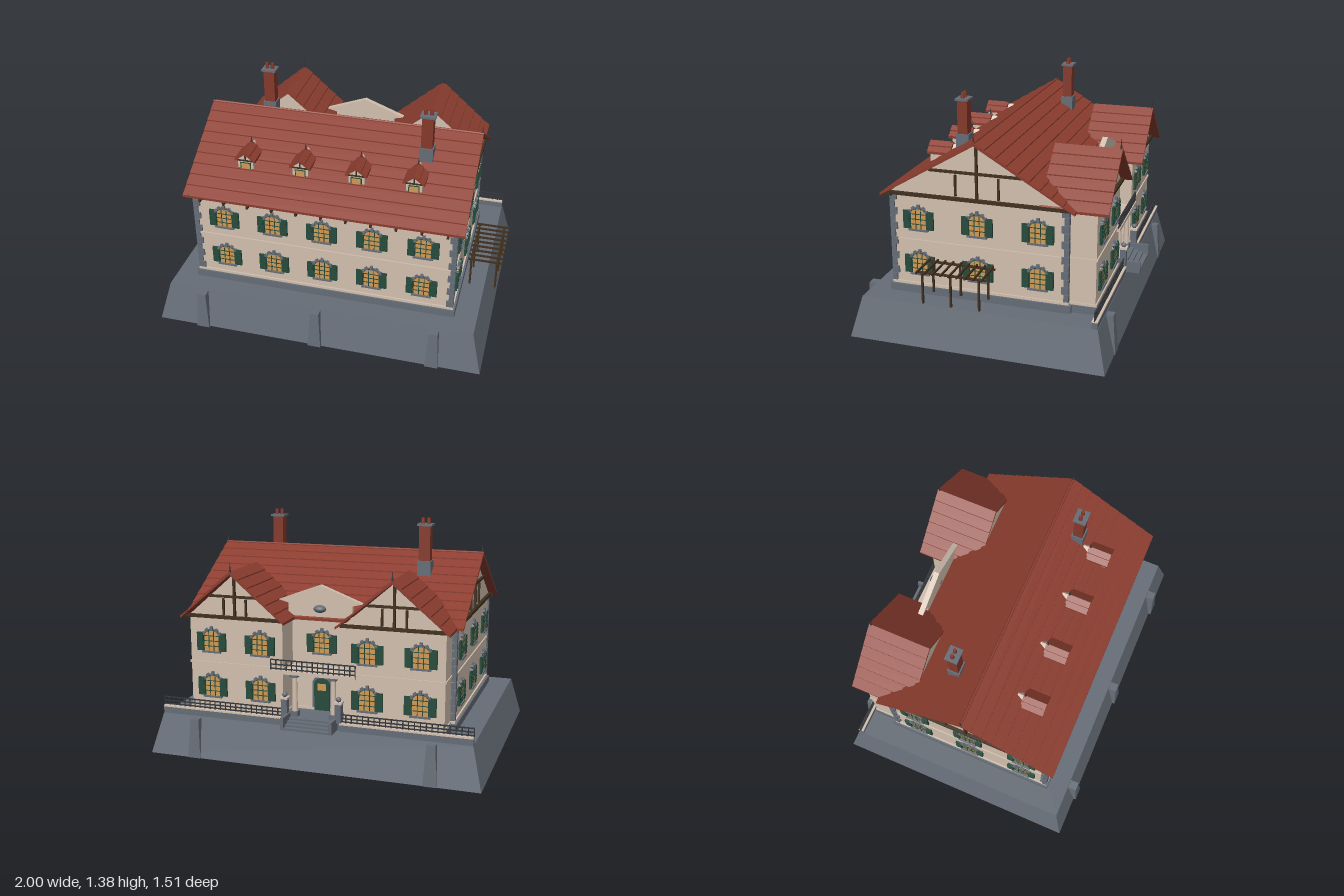
import * as THREE from 'three';

const mat = (name, color, side = THREE.FrontSide) => {
  const m = new THREE.MeshStandardMaterial({ color, side });
  m.name = name;
  return m;
};
const M = {
  plaster: mat('cream plaster', 0xd2c0af),
  stone: mat('grey stone', 0x666d77),
  tile: mat('red roof tile', 0x8c3d2f),
  brick: mat('red brick', 0x85392a),
  timber: mat('dark timber', 0x40301f),
  green: mat('green paint', 0x264b3c),
  glass: mat('amber glass', 0xd09a55),
  iron: mat('dark iron', 0x34373b),
};

function add(parent, name, geo, material, x = 0, y = 0, z = 0) {
  const m = new THREE.Mesh(geo, material);
  m.name = name;
  m.position.set(x, y, z);
  parent.add(m);
  return m;
}
const box = (p, name, m, w, h, d, x, y, z) => add(p, name, new THREE.BoxGeometry(w, h, d), m, x, y, z);
// box given by its limits
const span = (p, name, m, x0, x1, y0, y1, z0, z1) =>
  box(p, name, m, x1 - x0, y1 - y0, z1 - z0, (x0 + x1) / 2, (y0 + y1) / 2, (z0 + z1) / 2);
const group = (p, name, x = 0, y = 0, z = 0, ry = 0) => {
  const g = new THREE.Group();
  g.name = name;
  g.position.set(x, y, z);
  g.rotation.y = ry;
  p.add(g);
  return g;
};
const extrude = (pts, depth) => new THREE.ExtrudeGeometry(
  new THREE.Shape(pts.map(([x, y]) => new THREE.Vector2(x, y))), { depth, bevelEnabled: false, curveSegments: 8 });

// box whose top is shrunk and shifted
function tapered(wb, db, wt, dt, h, shift = 0) {
  const g = new THREE.BoxGeometry(wb, h, db).toNonIndexed();
  const p = g.attributes.position;
  for (let i = 0; i < p.count; i++) if (p.getY(i) > 0) {
    p.setX(i, p.getX(i) * wt / wb);
    p.setZ(i, p.getZ(i) * dt / db + shift);
  }
  g.translate(0, h / 2, 0);
  g.computeVertexNormals();
  return g;
}

// stepped tile courses on both slopes, ridge along z
function tiledRoof(half, top, eave, courses, length) {
  const right = [], step = 0.007, t = 0.018;
  for (let i = 0; i < courses; i++) {
    const a = i / courses, b = (i + 1) / courses, y = (k) => top + (eave - top) * k;
    right.push([half * a, y(a)], [half * b, y(b) + step]);
  }
  right.push([half, eave - t + 0.01]);
  const left = right.slice(1).map(([x, y]) => [-x, y]).reverse();
  return extrude([[0, top - t], ...left, ...right].reverse(), length);
}

const archPts = (w, spring, rise, n = 8) => {
  const pts = [[-w, 0], [w, 0]];
  for (let i = 0; i <= n; i++) {
    const a = Math.PI * i / n;
    pts.push([w * Math.cos(a), spring + rise * Math.sin(a)]);
  }
  return pts;
};

// arched window with shutters; sill at y = 0, facing +z
function windowUnit(p, x, y, z, ry) {
  const g = group(p, 'window', x, y, z, ry);
  add(g, 'stoneSurround', extrude(archPts(0.056, 0.09, 0.042), 0.006), M.stone);
  add(g, 'greenFrame', extrude(archPts(0.049, 0.09, 0.035), 0.008), M.green);
  add(g, 'pane', extrude(archPts(0.044, 0.09, 0.03), 0.01), M.glass);
  for (const dx of [-0.015, 0.015]) box(g, 'muntin', M.green, 0.004, 0.115, 0.004, dx, 0.06, 0.011);
  for (const dy of [0.03, 0.06, 0.09]) box(g, 'glazingBar', M.green, 0.088, 0.004, 0.004, 0, dy, 0.011);
  for (let i = 0; i < 5; i++) {
    const a = Math.PI * (i + 0.5) / 5;
    const v = box(g, 'voussoir', M.stone, 0.016, i === 2 ? 0.026 : 0.016, 0.016,
      0.053 * Math.cos(a), 0.09 + 0.042 * Math.sin(a), 0.006);
    v.rotation.z = a - Math.PI / 2;
  }
  box(g, 'sill', M.stone, 0.115, 0.01, 0.022, 0, -0.004, 0.008);
  for (const s of [-1, 1]) {
    box(g, 'shutter', M.green, 0.04, 0.106, 0.012, s * 0.07, 0.055, 0.008);
    for (let i = 0; i < 4; i++) box(g, 'shutterSlat', M.green, 0.03, 0.012, 0.004, s * 0.07, 0.02 + i * 0.023, 0.015);
  }
}

// timber framing of a gable; facing +z, x = 0 under the ridge
function gableTimbers(p, half, eave, top, x, z, ry) {
  const g = group(p, 'gableTimbers', x, 0, z, ry);
  const mid = eave + (top - eave) * 0.46, w = half * 0.5;
  box(g, 'tieBeam', M.timber, half * 2, 0.018, 0.024, 0, eave, 0.006);
  box(g, 'collarBeam', M.timber, w * 2, 0.013, 0.02, 0, mid, 0.004);
  box(g, 'kingPost', M.timber, 0.013, top - eave - 0.02, 0.02, 0, (top + eave) / 2 - 0.01, 0.004);
  for (const s of [-1, 1])
    box(g, 'stud', M.timber, 0.011, (mid - eave) * 0.8, 0.016, s * half * 0.225, (mid + eave) / 2, 0.003);
}

function railing(p, name, x0, x1, y, z, h) {
  const g = group(p, name);
  for (const k of [0.15, 0.55, 1]) span(g, 'rail', M.iron, x0, x1, y + h * k - 0.003, y + h * k + 0.003, z - 0.004, z + 0.004);
  const n = Math.round((x1 - x0) / 0.032);
  for (let i = 0; i <= n; i++) box(g, 'baluster', M.iron, 0.005, h, 0.005, x0 + (x1 - x0) * i / n, y + h / 2, z);
}

function chimney(p, x, z, low, top) {
  const g = group(p, 'chimney', x, 0, z);
  span(g, 'chimneyBase', M.stone, -0.04, 0.04, low, 1.13, -0.037, 0.037);
  span(g, 'chimneyStack', M.brick, -0.033, 0.033, 1.13, top, -0.029, 0.029);
  span(g, 'chimneyCap', M.stone, -0.044, 0.044, top, top + 0.012, -0.038, 0.038);
  for (const s of [-1, 1]) add(g, 'chimneyPot', new THREE.CylinderGeometry(0.01, 0.012, 0.034, 10), M.brick, s * 0.017, top + 0.028, 0);
}

function finial(p, x, y, z, h) {
  add(p, 'finial', new THREE.ConeGeometry(0.007, h, 6), M.iron, x, y + h / 2, z);
}

function dormer(p, x) {
  const g = group(p, 'dormer', x, 0, 0);
  add(g, 'dormerWall', extrude([[-0.046, 0.92], [0.046, 0.92], [0.046, 1.0], [0, 1.05], [-0.046, 1.0]], 0.16), M.plaster, 0, 0, 0.24);
  add(g, 'dormerRoof', tiledRoof(0.062, 1.062, 1.004, 2, 0.14), M.tile, 0, 0, 0.275);
  box(g, 'dormerFrame', M.green, 0.064, 0.05, 0.004, 0, 0.962, 0.401);
  box(g, 'dormerPane', M.glass, 0.052, 0.04, 0.006, 0, 0.962, 0.401);
  box(g, 'dormerBeam', M.timber, 0.1, 0.007, 0.008, 0, 1.0, 0.403);
  box(g, 'dormerPost', M.timber, 0.007, 0.05, 0.008, 0, 1.025, 0.403);
  finial(g, 0, 1.055, 0.285, 0.045);
}

export function createModel() {
  const root = new THREE.Group();
  root.name = 'manorHouse';
  const h = group(root, 'house', -0.02);

  // battered stone terrace with buttresses
  add(h, 'terrace', tapered(1.96, 1.48, 1.84, 1.365, 0.235), M.stone);
  for (const x of [-0.7, 0, 0.7]) {
    add(h, 'buttress', tapered(0.078, 0.13, 0.05, 0.13, 0.228, -0.02), M.stone, x, 0, 0.69);
    if (x) add(h, 'buttress', tapered(0.078, 0.13, 0.05, 0.13, 0.228, 0.02), M.stone, x, 0, -0.68);
  }

  // main block: plinth, gabled walls and mouldings
  span(h, 'plinth', M.stone, -0.79, 0.79, 0.23, 0.28, -0.5, 0.565);
  const wall = extrude([[-0.51, 0.28], [0.51, 0.28], [0.51, 0.835], [0, 1.147], [-0.51, 0.835]], 1.54);
  wall.rotateY(Math.PI / 2);
  add(h, 'mainWalls', wall, M.plaster, -0.77, 0, 0.035);
  span(h, 'baseMoulding', M.plaster, -0.78, 0.78, 0.28, 0.295, -0.485, 0.555);
  span(h, 'stringCourse', M.plaster, -0.778, 0.778, 0.546, 0.558, -0.483, 0.553);

  // corner quoins
  for (const sx of [-1, 1]) for (const [z, sz] of [[0.545, 1], [-0.475, -1]]) for (let i = 0; i < 12; i++) {
    const a = i % 2 ? 0.022 : 0.036, b = i % 2 ? 0.036 : 0.022;
    box(h, 'quoin', M.stone, a + 0.006, 0.041, b + 0.006, sx * (0.776 - a / 2), 0.317 + i * 0.0445, z + sz * (0.006 - b / 2));
  }

  // main roof, gable timbers and eave brackets
  const roof = tiledRoof(0.557, 1.165, 0.825, 9, 1.64);
  roof.rotateY(Math.PI / 2);
  add(h, 'mainRoof', roof, M.tile, -0.82, 0, 0.035);
  const ridge = add(h, 'ridgeTiles', new THREE.CylinderGeometry(0.008, 0.008, 1.64, 8), M.tile, 0, 1.164, 0.035);
  ridge.rotation.z = Math.PI / 2;
  for (const s of [-1, 1]) {
    gableTimbers(h, 0.55, 0.827, 1.16, s * 0.772, 0.035, s * Math.PI / 2);
    finial(h, s * 0.813, 1.15, 0.035, 0.07);
  }
  span(h, 'eaveBoard', M.timber, -0.8, 0.8, 0.812, 0.826, 0.535, 0.578);
  for (let i = 0; i < 11; i++) box(h, 'eaveBracket', M.timber, 0.012, 0.03, 0.035, (i - 5) * 0.145, 0.802, 0.562);

  // front and side windows
  for (const y of [0.355, 0.622]) {
    for (let i = -2; i <= 2; i++) windowUnit(h, i * 0.295, y, 0.545, 0);
    for (const s of [-1, 1]) for (const z of [0.383, 0.037, -0.31]) windowUnit(h, s * 0.77, y, z, s * Math.PI / 2);
  }
  for (const x of [-0.495, -0.165, 0.165, 0.495]) dormer(h, x);
  chimney(h, -0.51, -0.13, 0.98, 1.33);
  chimney(h, 0.525, 0.195, 0.95, 1.32);

  // two rear wings
  for (const s of [-1, 1]) {
    const w = group(h, 'rearWing', s * 0.467);
    span(w, 'wingPlinth', M.stone, -0.295, 0.295, 0.23, 0.28, -0.64, -0.4);
    add(w, 'wingWalls', extrude([[-0.285, 0.28], [0.285, 0.28], [0.285, 0.832], [0, 1.08], [-0.285, 0.832]], 0.31), M.plaster, 0, 0, -0.63);
    span(w, 'wingBaseMoulding', M.plaster, -0.291, 0.291, 0.28, 0.295, -0.637, -0.4);
    span(w, 'wingStringCourse', M.plaster, -0.291, 0.291, 0.546, 0.558, -0.637, -0.4);
    add(w, 'wingRoof', tiledRoof(0.317, 1.1, 0.825, 6, 0.38), M.tile, 0, 0, -0.695);
    gableTimbers(w, 0.305, 0.827, 1.09, 0, -0.632, Math.PI);
    finial(w, 0, 1.09, -0.685, 0.065);
    for (const y of [0.355, 0.622]) for (const x of [-0.15, 0.15]) windowUnit(w, x, y, -0.63, Math.PI);
  }

  // rear centre: pediment with crest, door, balcony on columns
  add(h, 'pediment', extrude([[-0.19, 0.82], [0.19, 0.82], [0.19, 0.91], [0.25, 0.925], [0, 1.02], [-0.25, 0.925], [-0.19, 0.91]], 0.032), M.plaster, 0, 0, -0.51);
  const crest = add(h, 'crest', new THREE.SphereGeometry(0.037, 16, 10), M.stone, 0, 0.885, -0.51);
  crest.scale.y = 0.6;
  windowUnit(h, 0, 0.622, -0.475, Math.PI);
  const door = group(h, 'door', 0, 0.28, -0.475, Math.PI);
  add(door, 'doorSurround', extrude(archPts(0.06, 0.16, 0.045), 0.008), M.stone);
  add(door, 'doorLeaf', extrude(archPts(0.047, 0.16, 0.032), 0.013), M.green);
  box(door, 'doorLight', M.glass, 0.05, 0.04, 0.004, 0, 0.14, 0.013);
  span(h, 'porchFloor', M.stone, -0.19, 0.19, 0.23, 0.28, -0.65, -0.47);
  span(h, 'balconySlab', M.plaster, -0.25, 0.25, 0.525, 0.545, -0.65, -0.47);
  railing(h, 'balconyRailing', -0.25, 0.25, 0.545, -0.643, 0.06);
  for (const s of [-1, 1]) {
    add(h, 'porchColumn', new THREE.CylinderGeometry(0.014, 0.017, 0.225, 14), M.plaster, s * 0.115, 0.4, -0.62);
    box(h, 'columnBase', M.stone, 0.044, 0.03, 0.044, s * 0.115, 0.295, -0.62);
    box(h, 'columnCapital', M.stone, 0.044, 0.018, 0.044, s * 0.115, 0.517, -0.62);
    // stair cheeks and gate piers with ball tops
    span(h, 'stairCheek', M.stone, s * 0.142 - 0.009, s * 0.142 + 0.009, 0.235, 0.305, -0.76, -0.64);
    box(h, 'gatePier', M.stone, 0.036, 0.11, 0.036, s * 0.16, 0.335, -0.66);
    box(h, 'pierCap', M.plaster, 0.046, 0.012, 0.046, s * 0.16, 0.394, -0.66);
    add(h, 'pierBall', new THREE.SphereGeometry(0.015, 12, 8), M.stone, s * 0.16, 0.412, -0.66);
    // garden wall and railing along the rear edge
    const x0 = s < 0 ? -0.92 : 0.17, x1 = s < 0 ? -0.17 : 0.92;
    span(h, 'gardenWall', M.stone, x0, x1, 0.23, 0.272, -0.68, -0.65);
    span(h, 'wallCoping', M.plaster, x0, x1, 0.272, 0.281, -0.682, -0.648);
    railing(h, 'gardenRailing', x0, x1, 0.281, -0.665, 0.048);
  }
  for (let i = 0; i < 4; i++) span(h, 'step', M.stone, -0.135, 0.135, 0.235, 0.28 - i * 0.011, -0.67 - i * 0.029, -0.64 - i * 0.029);

  // timber pergola on the side
  const g = group(h, 'pergola');
  for (const x of [0.835, 0.985]) {
    for (const z of [0.28, 0.117, -0.045]) box(g, 'pergolaPost', M.timber, 0.011, 0.185, 0.011, x, 0.3725, z);
    span(g, 'pergolaBeam', M.timber, x - 0.006, x + 0.006, 0.458, 0.469, -0.085, 0.315);
  }
  for (let i = 0; i < 9; i++) box(g, 'pergolaSlat', M.timber, 0.2, 0.01, 0.009, 0.92, 0.472, -0.07 + i * 0.0463);

  return root;
}
